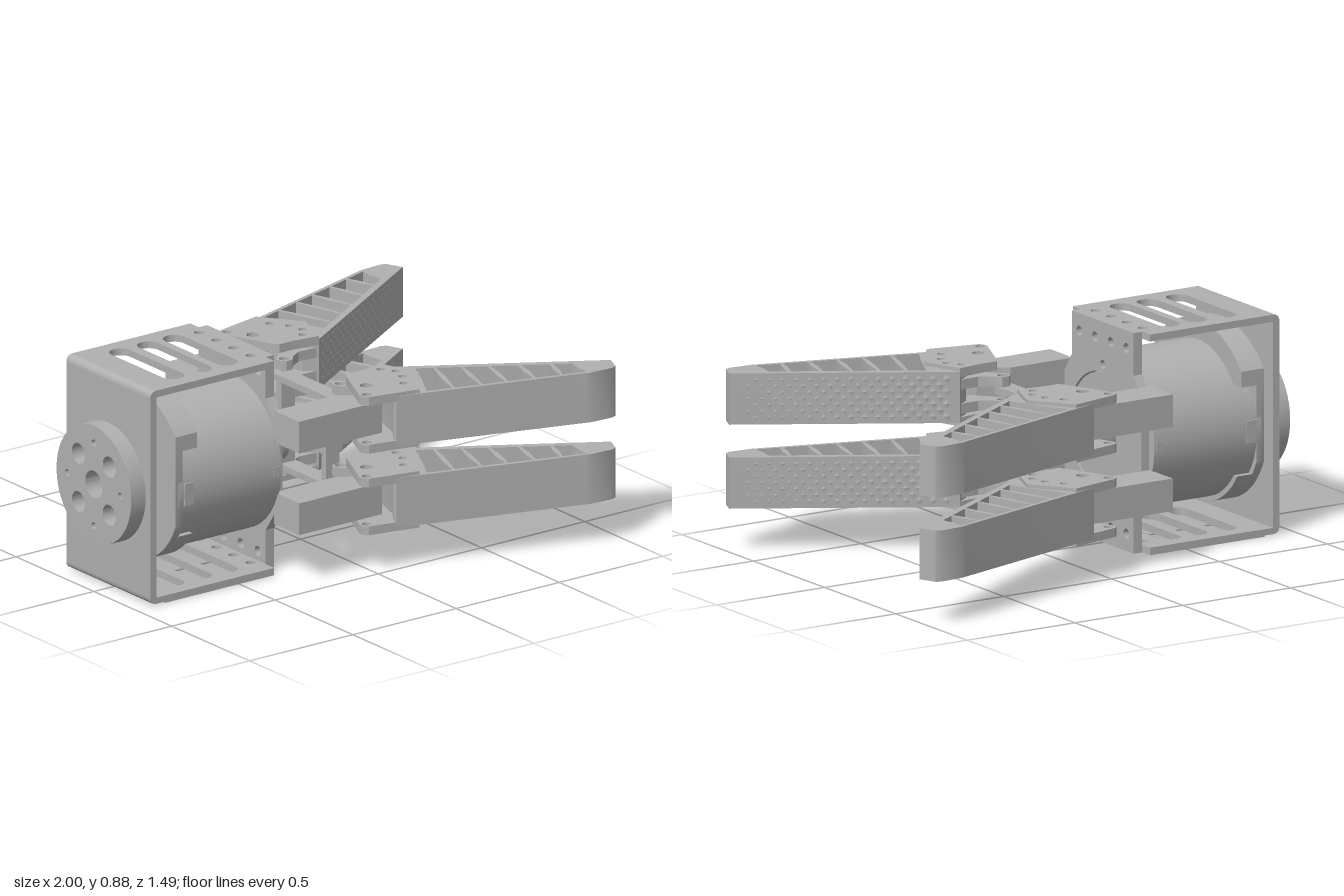
import * as THREE from 'three';
import { mergeGeometries, toCreasedNormals } from 'three/addons/utils/BufferGeometryUtils.js';

const grey = new THREE.MeshStandardMaterial({ color: 0xb0b0b0 });
grey.name = 'machined grey';
const AXIS = 0.44; // height of the central axis

function add(parent, name, geometry) {
  const mesh = new THREE.Mesh(geometry, grey);
  mesh.name = name;
  parent.add(mesh);
  return mesh;
}
// Outlines always run counter-clockwise so that hole walls face inward
function outline(points, holes = []) {
  const v = points.map(([a, b]) => new THREE.Vector2(a, b));
  const shape = new THREE.Shape(THREE.ShapeUtils.isClockWise(v) ? v.reverse() : v);
  shape.holes = holes;
  return shape;
}
const circle = (a, b, r) => new THREE.Path().absarc(a, b, r, 0, Math.PI * 2);
const disc = (r, holes) => {
  const s = new THREE.Shape().absarc(0, AXIS, r, 0, Math.PI * 2);
  s.holes = holes;
  return s;
};
const polygon = (pts) => new THREE.Path(pts.map(([a, b]) => new THREE.Vector2(a, b)));
function extrude(shape, depth) {
  const g = new THREE.ExtrudeGeometry(shape, { depth, bevelEnabled: false, curveSegments: 24 });
  return toCreasedNormals(g, 0.5);
}
// Shape drawn in (x, -z), raised from y0 to y1
const flat = (shape, y0, y1) => extrude(shape, y1 - y0).rotateX(-Math.PI / 2).translate(0, y0, 0);
// Shape drawn in (-z, y), running from x0 to x1
const upright = (shape, x0, x1) => extrude(shape, x1 - x0).rotateY(Math.PI / 2).translate(x0, 0, 0);
const box = (x0, x1, y0, y1, z0, z1) =>
  new THREE.BoxGeometry(x1 - x0, y1 - y0, z1 - z0).translate((x0 + x1) / 2, (y0 + y1) / 2, (z0 + z1) / 2);
const rodX = (r, x0, x1, y = AXIS, z = 0) =>
  new THREE.CylinderGeometry(r, r, x1 - x0, 48).rotateZ(-Math.PI / 2).translate((x0 + x1) / 2, y, z);

const ROW = [-0.165, -0.055, 0.055, 0.165];

function buildBracket() {
  const g = new THREE.Group();
  g.name = 'mountingBracket';

  // Back wall with rounded bends into the top and bottom plates
  const wall = new THREE.Shape();
  wall.moveTo(-0.86, 0.005);
  wall.lineTo(-0.90, 0.005).quadraticCurveTo(-0.93, 0.005, -0.93, 0.035);
  wall.lineTo(-0.93, 0.85).quadraticCurveTo(-0.93, 0.88, -0.90, 0.88);
  wall.lineTo(-0.86, 0.88).lineTo(-0.86, 0.852).lineTo(-0.90, 0.852);
  wall.lineTo(-0.90, 0.03).lineTo(-0.86, 0.03).closePath();
  add(g, 'backWall', extrude(wall, 0.54).translate(0, 0, -0.27));

  // Slotted plates
  const slots = [-0.745, -0.61, -0.485].map((x) => {
    const p = new THREE.Path();
    p.absarc(x, 0.165, 0.045, 0, Math.PI);
    p.absarc(x, -0.165, 0.045, Math.PI, Math.PI * 2);
    p.closePath();
    return p;
  });
  const plate = outline(
    [[-0.86, -0.27], [-0.33, -0.27], [-0.33, -0.215], [-0.31, -0.215],
      [-0.31, 0.215], [-0.33, 0.215], [-0.33, 0.27], [-0.86, 0.27]],
    [...slots, ...ROW.map((z) => circle(-0.365, z, 0.02))]);
  add(g, 'topPlate', flat(plate, 0.852, 0.88));
  add(g, 'bottomPlate', flat(plate, 0, 0.03));

  // Drilled front plate, widened where the arms meet it
  const front = outline(
    [[-0.215, 0], [0.215, 0], [0.215, 0.17], [0.27, 0.25], [0.27, 0.63], [0.215, 0.71],
      [0.215, 0.88], [-0.215, 0.88], [-0.215, 0.71], [-0.27, 0.63], [-0.27, 0.25], [-0.215, 0.17]],
    [circle(0, AXIS, 0.24), circle(0, 0.71, 0.018), circle(0, 0.17, 0.018),
      ...ROW.flatMap((z) => [circle(z, 0.81, 0.02), circle(z, 0.07, 0.02)])]);
  add(g, 'frontPlate', upright(front, -0.33, -0.29));
  return g;
}

function buildMotor() {
  const g = new THREE.Group();
  g.name = 'motor';
  add(g, 'motorBody', rodX(0.31, -0.82, -0.325));

  // Rear cap: round plate with flat sides, taller above than below
  const side = 0.305, top = 0.39, low = 0.33;
  const aTop = Math.acos(side / top), aLow = Math.acos(side / low);
  const cap = new THREE.Shape();
  cap.absarc(0, AXIS, top, aTop, Math.PI - aTop);
  cap.absarc(0, AXIS, low, Math.PI + aLow, Math.PI * 2 - aLow);
  cap.closePath();
  add(g, 'rearCap', upright(cap, -0.835, -0.80));
  for (const [s, r] of [[1, top], [-1, low]]) {
    const a = Math.max(Math.acos(side / r), Math.asin(0.18 / r));
    const tab = new THREE.Shape();
    tab.moveTo(-r * Math.cos(a), AXIS + s * 0.18);
    tab.lineTo(r * Math.cos(a), AXIS + s * 0.18);
    tab.absarc(0, AXIS, r, s * a, s * (Math.PI - a), s < 0);
    tab.closePath();
    add(g, 'capTab', upright(tab, -0.825, -0.73));
  }

  // Side sockets and small clips
  for (const z of [0.305, -0.305]) {
    add(g, 'socket', box(-0.795, -0.75, 0.395, 0.485, z - 0.008, z + 0.008));
    add(g, 'clip', box(-0.365, -0.335, 0.42, 0.46, z - 0.007, z + 0.007));
  }

  // Round rear hub with bolt holes
  const holes = [circle(0, AXIS, 0.055)];
  for (let i = 0; i < 4; i++) {
    const t = i * Math.PI / 2 + Math.PI / 4, u = t + Math.PI / 4;
    holes.push(circle(0.14 * Math.cos(t), AXIS + 0.14 * Math.sin(t), 0.042));
    holes.push(circle(0.17 * Math.cos(u), AXIS + 0.17 * Math.sin(u), 0.014));
  }
  add(g, 'rearHub', upright(disc(0.24, holes), -1, -0.93));

  // Front flange, sleeve and shaft
  add(g, 'frontFlange', rodX(0.235, -0.33, -0.296));
  add(g, 'sleeve', rodX(0.085, -0.30, -0.115));
  add(g, 'shaft', rodX(0.042, -0.12, 0.02));
  return g;
}

function buildCrosshead() {
  const g = new THREE.Group();
  g.name = 'crosshead';
  add(g, 'crossBar', box(0, 0.08, 0.39, 0.49, -0.165, 0.165));
  add(g, 'frontBlock', box(0.08, 0.15, 0.395, 0.485, -0.115, 0.115));
  add(g, 'endNut', rodX(0.055, 0.15, 0.162));
  add(g, 'endCap', rodX(0.04, 0.16, 0.176));
  // Drilled tie bars that carry the finger pivots
  const tie = outline([[0, -0.21], [0.06, -0.21], [0.085, -0.19], [0.085, -0.15], [0.075, -0.13],
    [0.075, 0.13], [0.085, 0.15], [0.085, 0.19], [0.06, 0.21], [0, 0.21]],
  [circle(0.057, 0.18, 0.02), circle(0.057, -0.18, 0.02)]);
  for (const s of [1, -1]) {
    add(g, 'column', box(0.005, 0.07, 0.26, 0.62, s * 0.143 - 0.015, s * 0.143 + 0.015));
    add(g, 'tieBar', flat(tie, AXIS + s * 0.18 - 0.013, AXIS + s * 0.18 + 0.013));
    add(g, 'bolt', rodX(0.02, 0.15, 0.156, AXIS, s * 0.09));
    add(g, 'bolt', rodX(0.016, 0.08, 0.086, AXIS, s * 0.145));
  }
  return g;
}

// One gripping finger; s picks the side, yc is its middle height
function buildFinger(s, yc) {
  const g = new THREE.Group();
  g.name = 'finger';
  const pts = (list) => list.map(([x, w]) => [x, s * w]);
  const z = (w) => -s * w;

  // Fixed arm from the bracket
  add(g, 'arm', flat(outline(pts([[-0.33, 0.27], [-0.04, 0.27], [0, 0.30], [0.085, 0.32],
    [0.085, 0.41], [0.07, 0.43], [-0.33, 0.43]]), [circle(0.045, s * 0.365, 0.025)]), yc - 0.065, yc + 0.065));

  // Paired knuckle plates
  const knuckle = outline(
    pts([[-0.045, 0.44], [0.045, 0.235], [0.06, 0.215], [0.13, 0.215], [0.24, 0.20], [0.30, 0.365],
      [0.18, 0.525], [-0.03, 0.48], [-0.045, 0.465]]),
    [[-0.018, 0.45, 0.018], [0.045, 0.365, 0.025], [0.175, 0.43, 0.016],
      [0.22, 0.365, 0.016], [0.235, 0.30, 0.016], [0.20, 0.25, 0.016]].map(([x, w, r]) => circle(x, s * w, r)));
  // Inner lugs on the pivot, either side of the tie bar
  const lug = outline(pts([[0.028, 0.195], [0.03, 0.165], [0.045, 0.15], [0.075, 0.15], [0.10, 0.18],
    [0.15, 0.21], [0.24, 0.205], [0.20, 0.30], [0.12, 0.30], [0.06, 0.225]]), [circle(0.057, s * 0.18, 0.02)]);
  for (const d of [-1, 1]) {
    add(g, 'knucklePlate', flat(knuckle, yc + d * 0.098 - 0.018, yc + d * 0.098 + 0.018));
    add(g, 'pivotLug', flat(lug, yc + d * 0.048 - 0.02, yc + d * 0.048 + 0.02));
  }

  // Ribbed wedge with cavities between the cross ribs
  const outer = (x) => 0.505 + (x - 0.08) * 0.307 - 0.02;
  const inner = (x) => 0.20 + (x - 0.24) * 0.62 + 0.032;
  const ribs = [[0.21, 0.33], [0.32, 0.40], [0.43, 0.49], [0.53, 0.58], [0.64, 0.68], [0.745, 0.785], [0.85, 0.86]];
  const cavities = ribs.slice(1).map(([oR, iR], i) => {
    const [oL, iL] = ribs[i], e = 0.005;
    const mid = (o, n, k) => [(o + n) / 2 + k, (outer(o) + inner(n)) / 2];
    return polygon(pts([[oL + e, outer(oL + e)], [oR - e, outer(oR - e)], mid(oR, iR, -0.012),
      [iR - e, inner(iR - e)], [iL + e, inner(iL + e)], mid(oL, iL, 0.012)]));
  });
  add(g, 'fingerBody', flat(outline(pts([[0.085, 0.505], [0.83, 0.732], [0.845, 0.738], [0.95, 0.745],
    [0.972, 0.735], [1, 0.668], [0.985, 0.66], [0.24, 0.20], [0.19, 0.235], [0.13, 0.42], [0.085, 0.485]]),
  cavities), yc - 0.102, yc + 0.102));

  // Low diamond studs on the gripping face
  const u = new THREE.Vector3(0.85, 0, z(0.527)).normalize();
  const n = new THREE.Vector3(0.527, 0, z(-0.85)).normalize();
  const across = new THREE.Vector3().crossVectors(u, n);
  const basis = new THREE.Matrix4().makeBasis(u, n, across);
  const studs = [];
  for (let i = 0; i < 30; i++) {
    for (let j = 0; j < 4 - (i % 2); j++) {
      const along = 0.05 + i * 0.0265;
      const stud = new THREE.ConeGeometry(1, 1, 4, 1, true).toNonIndexed();
      stud.scale(0.024, 0.004, 0.024).translate(along, 0.001, (j - (3 - (i % 2)) / 2) * 0.05);
      stud.applyMatrix4(basis).translate(0.24, yc, z(0.20));
      stud.computeVertexNormals();
      studs.push(stud);
    }
  }
  add(g, 'gripStuds', mergeGeometries(studs));
  return g;
}

export function createModel() {
  const model = new THREE.Group();
  model.name = 'fourFingerGripper';
  model.add(buildBracket(), buildMotor(), buildCrosshead());
  for (const s of [1, -1])
    for (const yc of [0.61, 0.275]) model.add(buildFinger(s, yc));
  return model;
}
